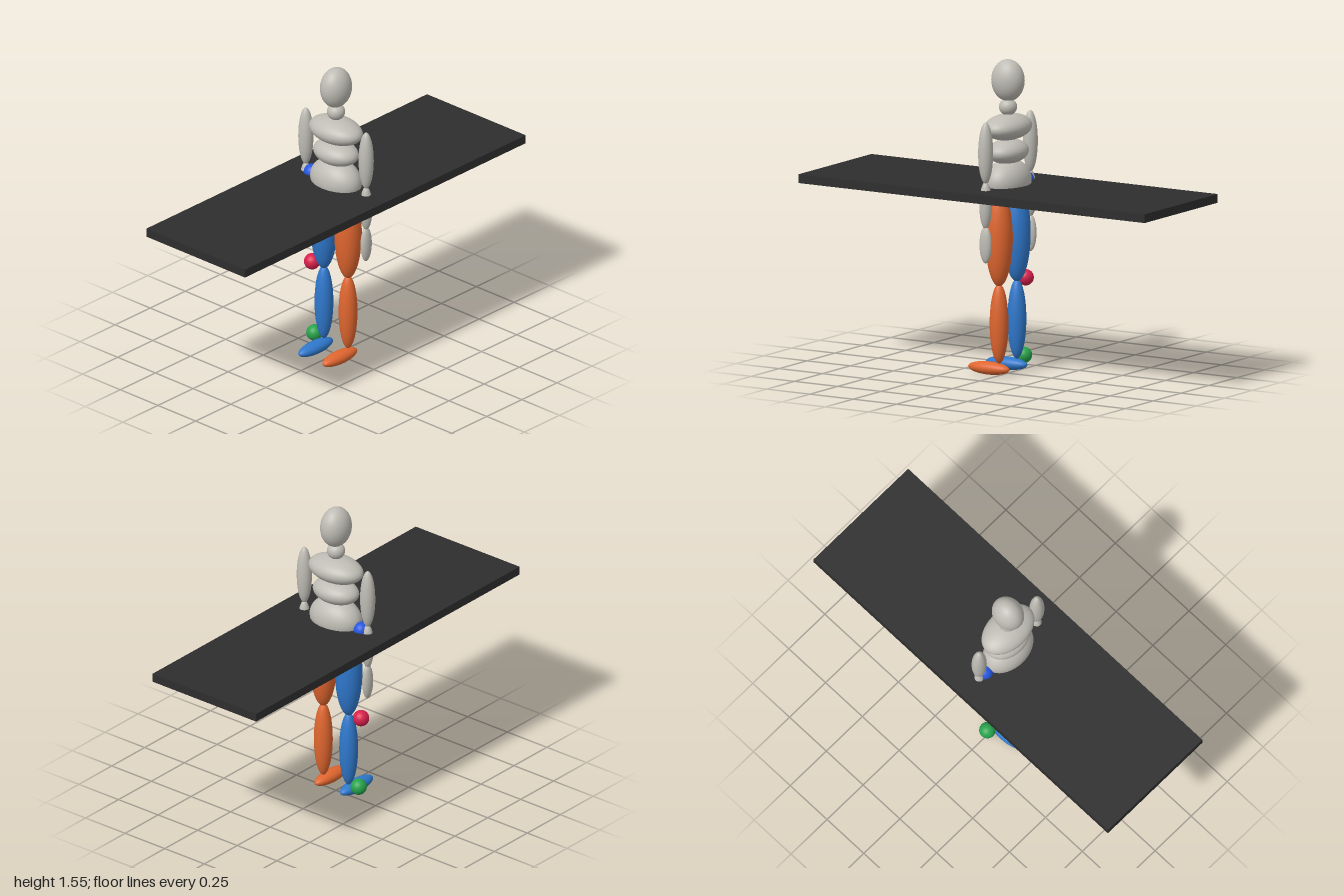
import * as THREE from 'three';

const mat = (name, color) => {
  const m = new THREE.MeshStandardMaterial({ color });
  m.name = name;
  return m;
};

export function createModel() {
  const model = new THREE.Group();
  model.name = 'mannequinAtTable';

  const grey = mat('stone grey', 0xbebcb4);
  const blue = mat('leg blue', 0x2f78cc);
  const orange = mat('leg orange', 0xe0662f);
  const black = mat('table black', 0x2e2e2e);
  const red = mat('crimson', 0xd81f4c);
  const green = mat('green', 0x27a34c);
  const cobalt = mat('cobalt', 0x2456e0);

  const sphere = new THREE.SphereGeometry(1, 40, 28);
  const ellipsoid = (name, material, [x, y, z], [rx, ry, rz], parent = model) => {
    const mesh = new THREE.Mesh(sphere, material);
    mesh.name = name;
    mesh.position.set(x, y, z);
    mesh.scale.set(rx, ry, rz);
    parent.add(mesh);
  };

  // Head and stacked torso
  ellipsoid('head', grey, [0, 1.446, 0], [0.072, 0.103, 0.085]);
  ellipsoid('neck', grey, [0, 1.315, 0], [0.045, 0.042, 0.044]);
  ellipsoid('chest', grey, [0, 1.217, 0], [0.153, 0.064, 0.1]);
  ellipsoid('waist', grey, [0, 1.096, 0], [0.127, 0.06, 0.09]);
  ellipsoid('pelvis', grey, [0, 0.95, 0], [0.145, 0.108, 0.1]);

  // Arms and legs, mirrored; the legs differ in colour
  for (const [side, s, legColor] of [['left', 1, orange], ['right', -1, blue]]) {
    const arm = new THREE.Group();
    arm.name = side + 'Arm';
    ellipsoid('upperArm', grey, [s * 0.2, 1.116, 0], [0.038, 0.152, 0.036], arm);
    ellipsoid('forearm', grey, [s * 0.2, 0.858, 0], [0.031, 0.117, 0.031], arm);
    ellipsoid('hand', grey, [s * 0.2, 0.664, 0], [0.022, 0.092, 0.033], arm);

    const leg = new THREE.Group();
    leg.name = side + 'Leg';
    ellipsoid('thigh', legColor, [s * 0.08, 0.68, 0], [0.067, 0.24, 0.067], leg);
    ellipsoid('shin', legColor, [s * 0.08, 0.257, 0], [0.046, 0.197, 0.046], leg);
    ellipsoid('foot', legColor, [s * 0.08, 0.032, 0.059], [0.04, 0.032, 0.117], leg);
    model.add(arm, leg);
  }

  // Joint markers on the outside of the right leg
  ellipsoid('hipMarker', cobalt, [-0.16, 0.934, 0], [0.04, 0.04, 0.04]);
  ellipsoid('kneeMarker', red, [-0.158, 0.449, 0], [0.04, 0.04, 0.04]);
  ellipsoid('ankleMarker', green, [-0.143, 0.068, 0], [0.04, 0.04, 0.04]);

  // Long table slab around the hips
  const table = new THREE.Mesh(new THREE.BoxGeometry(0.655, 0.043, 2), black);
  table.name = 'tableTop';
  table.position.y = 0.911;
  model.add(table);

  return model;
}
